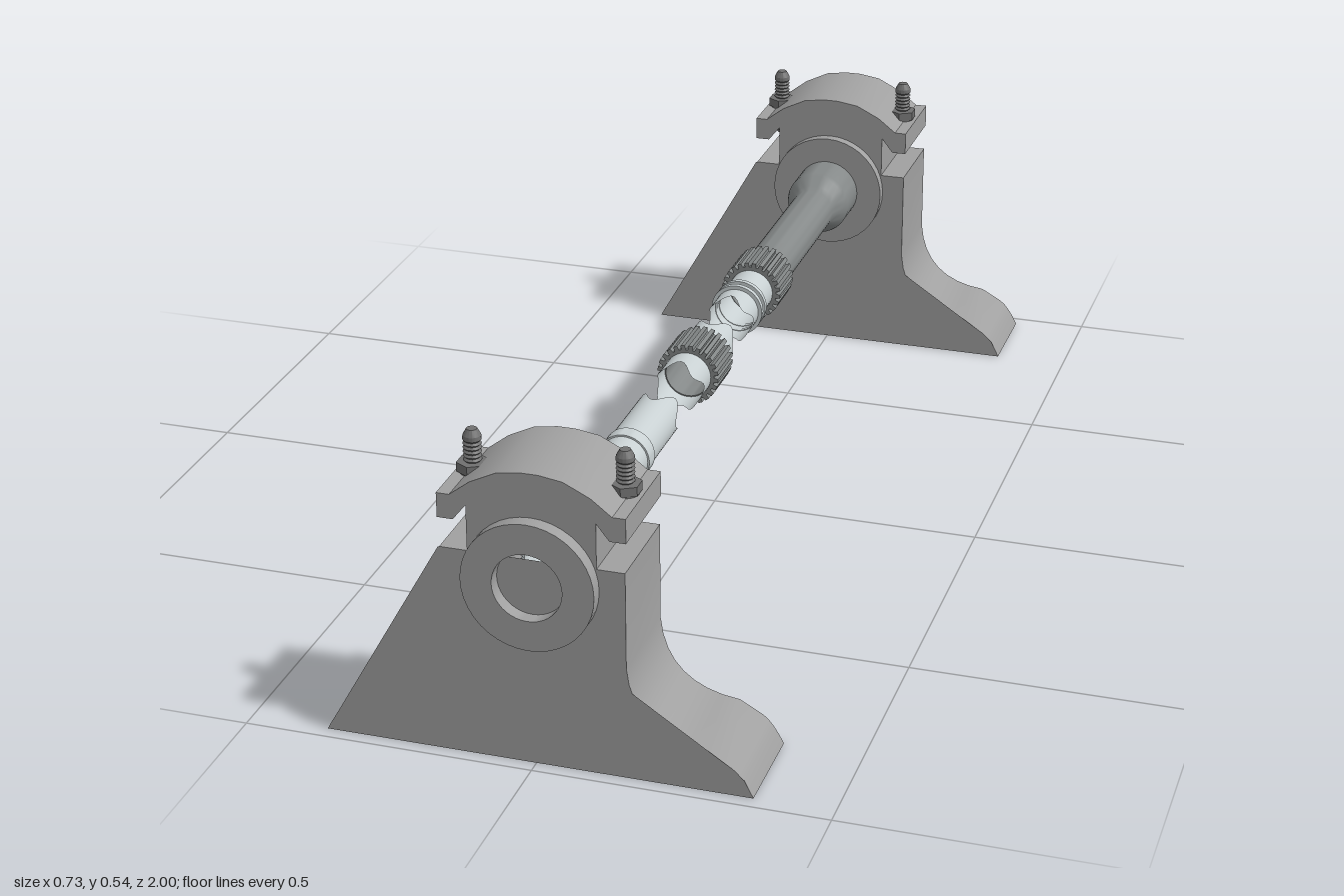
import * as THREE from 'three';
import { toCreasedNormals } from 'three/addons/utils/BufferGeometryUtils.js';

const AXIS_Y = 0.332;
const V = (x, y) => new THREE.Vector2(x, y);

export function createModel() {
  const mat = (name, color, side = THREE.FrontSide) => {
    const m = new THREE.MeshStandardMaterial({ color, side });
    m.name = name;
    return m;
  };
  const castGrey = mat('cast grey', 0xa0a0a0, THREE.DoubleSide);
  const paleSteel = mat('pale steel', 0xc8d0d2, THREE.DoubleSide);
  const darkSteel = mat('dark steel', 0x848888, THREE.DoubleSide);
  const boltSteel = mat('bolt steel', 0x707070);

  const model = new THREE.Group();
  model.name = 'shaftOnBearings';
  const add = (parent, name, geo, material) => {
    const mesh = new THREE.Mesh(geo, material);
    mesh.name = name;
    parent.add(mesh);
    return mesh;
  };

  // Closed outline from its right half, listed bottom to top
  const mirrored = (half) => [...half, ...half.slice().reverse().map((p) => V(-p.x, p.y))];
  const foot = [
    ...new THREE.QuadraticBezierCurve(V(0.365, 0), V(0.348, 0.035), V(0.33, 0.048)).getPoints(4),
    ...new THREE.QuadraticBezierCurve(V(0.29, 0.07), V(0.165, 0.08), V(0.155, 0.2)).getPoints(8),
  ];
  const blockShape = () => {
    const s = new THREE.Shape(mirrored([
      ...foot, V(0.155, 0.37), V(0.108, 0.37), V(0.108, 0.45), V(0.13, 0.422), V(0.157, 0.422),
      V(0.157, 0.465), V(0.135, 0.465), V(0.1, 0.492), V(0.055, 0.514), V(0.015, 0.52),
    ]));
    s.holes.push(new THREE.Path().absarc(0, AXIS_Y, 0.06, 0, Math.PI * 2, true));
    return s;
  };

  const extrude = (shape, z0, depth) => {
    const g = new THREE.ExtrudeGeometry(shape, { depth, bevelEnabled: false, curveSegments: 20 });
    g.translate(0, 0, z0);
    return toCreasedNormals(g, 0.5);
  };

  // Hollow ring along z
  const ring = (outer, inner, z0, depth) => {
    const s = new THREE.Shape().absarc(0, AXIS_Y, outer, 0, Math.PI * 2);
    s.holes.push(new THREE.Path().absarc(0, AXIS_Y, inner, 0, Math.PI * 2, true));
    return extrude(s, z0, depth);
  };

  // Sleeve with square teeth along z
  const splined = (outer, root, inner, teeth, z0, depth) => {
    const pts = [];
    for (let i = 0; i < teeth; i++) {
      [[0, root], [0.3, root], [0.4, outer], [0.9, outer]].forEach(([t, r]) => {
        const a = ((i + t) / teeth) * Math.PI * 2;
        pts.push(V(Math.cos(a) * r, AXIS_Y + Math.sin(a) * r));
      });
    }
    const s = new THREE.Shape(pts);
    s.holes.push(new THREE.Path().absarc(0, AXIS_Y, inner, 0, Math.PI * 2, true));
    return extrude(s, z0, depth);
  };

  // Thin tube from z0 to z1 (z0 < z1) whose ends may be cut in a broken wave
  const tube = (r, z0, z1, wave0 = 0, wave1 = 0) => {
    const g = new THREE.CylinderGeometry(r, r, z1 - z0, 40, 1, true);
    g.rotateX(Math.PI / 2);
    g.translate(0, 0, (z0 + z1) / 2);
    const p = g.attributes.position;
    for (let i = 0; i < p.count; i++) {
      const w = Math.cos(4 * Math.atan2(p.getY(i), p.getX(i)));
      const z = p.getZ(i);
      p.setZ(i, z + w * (z > (z0 + z1) / 2 ? -wave1 : wave0));
    }
    g.translate(0, AXIS_Y, 0);
    return g;
  };

  // Threaded stud, turned round y
  const studProfile = [V(0, 0.41), V(0.009, 0.41), V(0.015, 0.418), V(0.015, 0.455)];
  for (let y = 0.484; y < 0.526; y += 0.007) {
    studProfile.push(V(0.012, y), V(0.0155, y + 0.0035));
  }
  studProfile.push(V(0.015, 0.53), V(0.009, 0.541), V(0, 0.541));
  const studGeo = toCreasedNormals(new THREE.LatheGeometry(studProfile, 16), 0.4);
  const nutGeo = toCreasedNormals(new THREE.CylinderGeometry(0.027, 0.027, 0.016, 6), 0.4);
  const washerGeo = toCreasedNormals(new THREE.CylinderGeometry(0.022, 0.022, 0.006, 20), 0.4);

  // Bearing block, z0 is its rear face
  const bearing = (name, z0, ringZ) => {
    const g = new THREE.Group();
    g.name = name;
    model.add(g);
    add(g, 'housing', extrude(blockShape(), z0, 0.175), castGrey);

    // Front web closing the base and most of the bore
    const web = new THREE.ShapeGeometry(new THREE.Shape([
      V(-0.365, 0), V(0.365, 0), V(0.35, 0.03), V(0.33, 0.048),
      V(0.155, 0.163), V(0.155, 0.37), V(-0.157, 0.37),
    ]));
    web.translate(0, 0, z0 + 0.1755);
    add(g, 'frontWeb', web, castGrey);

    add(g, 'bearingRing', ring(0.112, 0.059, ringZ, 0.22), castGrey);

    // Clamp bolts on the cap ears
    for (const side of [-1, 1]) {
      const bolt = new THREE.Group();
      bolt.name = side > 0 ? 'leftBolt' : 'rightBolt';
      bolt.position.set(side * 0.128, 0, z0 + 0.0875);
      add(bolt, 'stud', studGeo, boltSteel);
      add(bolt, 'nut', nutGeo, boltSteel).position.y = 0.476;
      add(bolt, 'washer', washerGeo, boltSteel).position.y = 0.467;
      g.add(bolt);
    }
  };
  bearing('frontBearing', 0.8, 0.78);
  bearing('rearBearing', -0.975, -1.0);

  // Front shaft section
  const front = new THREE.Group();
  front.name = 'frontShaft';
  model.add(front);
  add(front, 'tube', tube(0.042, 0.345, 0.9, 0.02), paleSteel);
  add(front, 'splineEnd', splined(0.047, 0.043, 0.04, 28, 0.71, 0.19), paleSteel);
  add(front, 'collar', ring(0.047, 0.04, 0.685, 0.016), paleSteel);
  add(front, 'band', ring(0.045, 0.04, 0.49, 0.03), paleSteel);

  // Middle shaft section
  const middle = new THREE.Group();
  middle.name = 'middleShaft';
  model.add(middle);
  add(middle, 'tube', tube(0.043, 0.014, 0.218, 0.016, 0.016), paleSteel);
  add(middle, 'splineSleeve', splined(0.057, 0.049, 0.041, 24, 0.073, 0.09), darkSteel);

  // Rear shaft section
  const rear = new THREE.Group();
  rear.name = 'rearShaft';
  model.add(rear);
  add(rear, 'tube', tube(0.042, -0.24, -0.092, 0, 0.016), paleSteel);
  for (const z of [-0.15, -0.172]) add(rear, 'sealRing', ring(0.049, 0.041, z, 0.01), paleSteel);
  add(rear, 'splineSleeve', splined(0.057, 0.049, 0.041, 24, -0.325, 0.09), darkSteel);
  const flare = new THREE.LatheGeometry([
    V(0.043, 0.3), V(0.043, 0.665), V(0.048, 0.68), V(0.06, 0.7), V(0.063, 0.71), V(0.063, 0.785),
    V(0.045, 0.785),
  ], 40);
  flare.rotateX(-Math.PI / 2);
  flare.translate(0, AXIS_Y, 0);
  add(rear, 'flaredTube', toCreasedNormals(flare, 0.6), darkSteel);

  return model;
}
